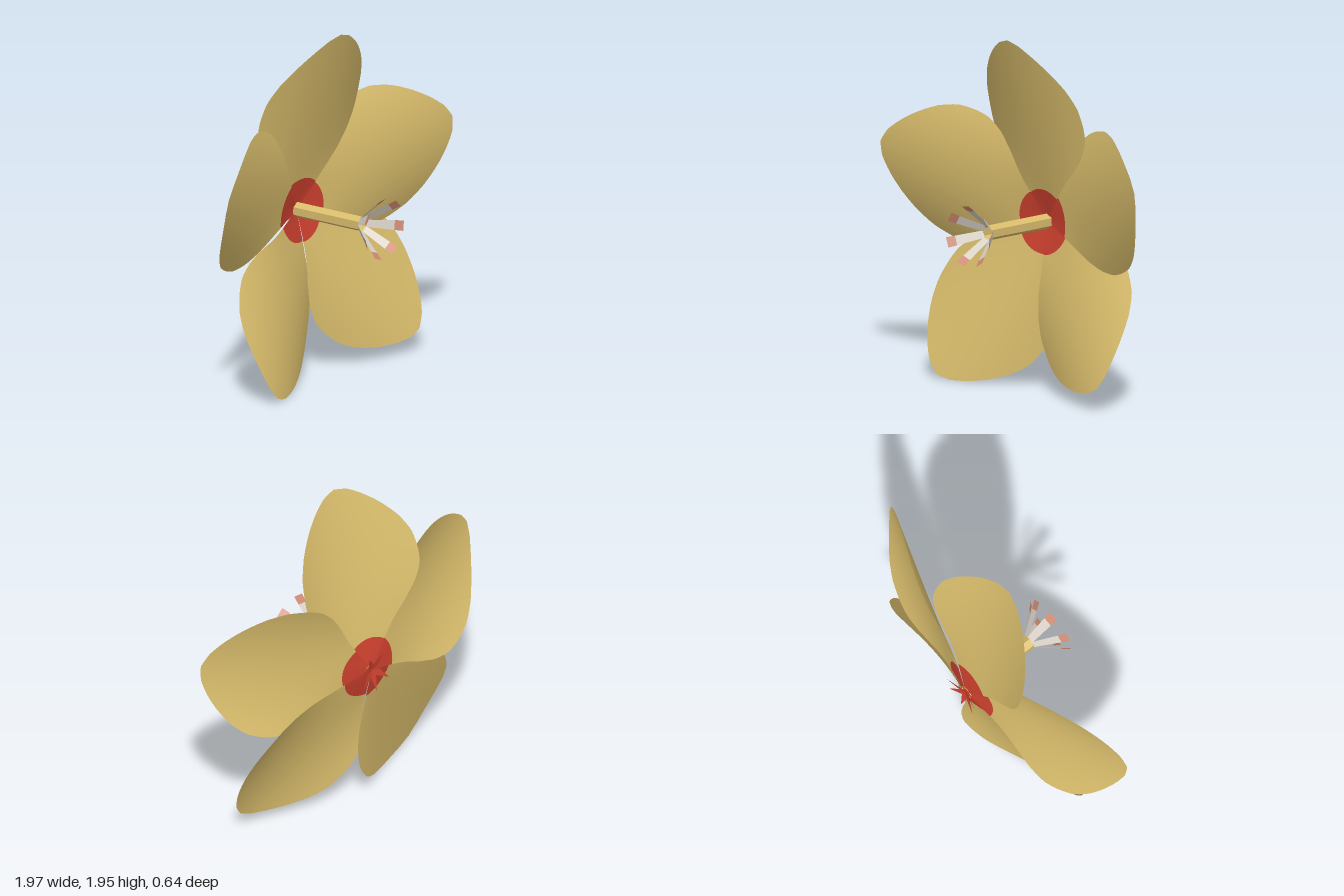
import * as THREE from 'three';

const material = (name, color) => {
  const m = new THREE.MeshStandardMaterial({ color, side: THREE.DoubleSide });
  m.name = name;
  return m;
};

// Petal outline: distance from the centre, half opening angle in degrees
const OUTLINE = [
  [0, 39], [0.13, 39], [0.26, 39.3], [0.4, 41], [0.525, 40.4], [0.631, 37.6], [0.7, 33.9],
  [0.794, 28.2], [0.863, 22.1], [0.93, 14.8], [0.98, 9.2], [1.02, 4.5], [1.04, 0],
];

function halfAngle(r) {
  let i = 1;
  while (i < OUTLINE.length - 1 && OUTLINE[i][0] < r) i++;
  const [r0, a0] = OUTLINE[i - 1], [r1, a1] = OUTLINE[i];
  return THREE.MathUtils.degToRad(a0 + (a1 - a0) * (r - r0) / (r1 - r0));
}

// Curved petal pointing along +y: arched across, tip forward, slightly rolled
function petalPoint(r, s) {
  const a = s * halfAngle(r);
  const x = r * Math.sin(a), y = r * Math.cos(a);
  const z = -0.285 + 0.305 * Math.pow(r / 1.04, 1.1) - 0.75 * x * x + 0.075 * x;
  return [x, y, z];
}

// One petal with group 0 = red base, group 1 = yellow blade, sharing smooth normals
function petalGeometry() {
  const rows = 44, cols = 24, redRows = 8, redEnd = 0.18;
  const pos = [], index = [];
  for (let i = 0; i <= rows; i++) {
    const u = (i - redRows) / (rows - redRows);
    const r = i <= redRows ? 0.005 + (redEnd - 0.005) * i / redRows
      : redEnd + (1.04 - redEnd) * Math.sin(u * Math.PI / 2);
    for (let j = 0; j <= cols; j++) pos.push(...petalPoint(r, 2 * j / cols - 1));
  }
  for (let i = 0; i < rows; i++) for (let j = 0; j < cols; j++) {
    const a = i * (cols + 1) + j, b = a + cols + 1;
    index.push(a, a + 1, b, a + 1, b + 1, b);
  }
  const g = new THREE.BufferGeometry();
  g.setAttribute('position', new THREE.Float32BufferAttribute(pos, 3));
  g.setIndex(index);
  g.addGroup(0, redRows * cols * 6, 0);
  g.addGroup(redRows * cols * 6, (rows - redRows) * cols * 6, 1);
  g.computeVertexNormals();
  return g;
}

// Flat strip in the y-z plane direction, from [y, z, halfWidth] to [y, z, halfWidth]
function strip([y0, z0, w0], [y1, z1, w1]) {
  const g = new THREE.BufferGeometry();
  g.setAttribute('position', new THREE.Float32BufferAttribute(
    [-w0, y0, z0, w0, y0, z0, w1, y1, z1, -w1, y1, z1], 3));
  g.setIndex([0, 1, 2, 0, 2, 3]);
  g.computeVertexNormals();
  return g;
}

export function createModel() {
  const yellow = material('petal yellow', 0xd9bd6c);
  const red = material('centre red', 0xcc402e);
  const white = material('stamen white', 0xd9d2c8);
  const salmon = material('anther salmon', 0xcf8a72);

  const model = new THREE.Group();
  model.name = 'flower';
  const bloom = new THREE.Group();
  bloom.name = 'bloom';
  bloom.position.y = 0.92;
  model.add(bloom);

  const add = (name, geometry, mat, degrees = 90) => {
    const m = new THREE.Mesh(geometry, mat);
    m.name = name;
    m.rotation.z = THREE.MathUtils.degToRad(degrees - 90);
    bloom.add(m);
    return m;
  };

  // Five overlapping petals
  const petal = petalGeometry();
  [90, 19.5, -48.5, -122, 161].forEach((deg, i) => add(`petal${i + 1}`, petal, [red, yellow], deg));

  // Hollow hexagonal style
  const tube = new THREE.CylinderGeometry(0.042, 0.042, 0.45, 6, 1, true).toNonIndexed();
  tube.computeVertexNormals();
  tube.rotateX(Math.PI / 2);
  tube.translate(0, 0, -0.055);
  add('style', tube, yellow);

  // Seven flat stamens with coloured tips, and the red sepal star behind
  const filament = strip([0.035, 0.165, 0.02], [0.135, 0.283, 0.027]);
  const anther = strip([0.135, 0.283, 0.027], [0.167, 0.32, 0.029]);
  const sepal = strip([0, -0.285, 0.028], [0.12, -0.318, 0.001]);
  for (let i = 0; i < 7; i++) {
    const deg = 96 + i * 360 / 7;
    add(`stamen${i + 1}`, filament, white, deg);
    add(`anther${i + 1}`, anther, salmon, deg);
    add(`sepal${i + 1}`, sepal, red, deg + 20);
  }
  return model;
}
